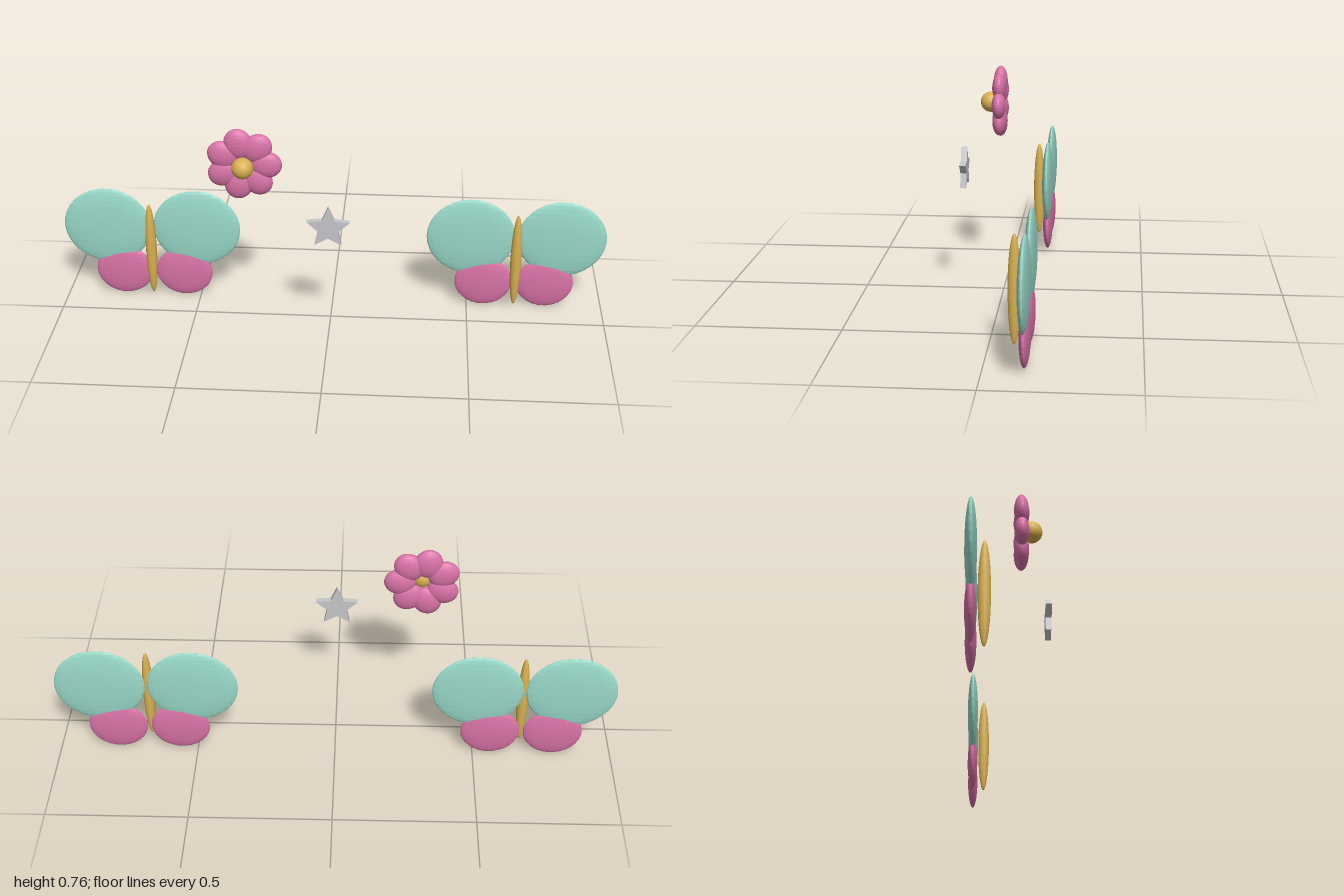
import * as THREE from 'three';

export function createModel() {
  const model = new THREE.Group();
  const material = (name, color) => {
    const m = new THREE.MeshStandardMaterial({ color, flatShading: true });
    m.name = name;
    return m;
  };
  const teal = material('mint green', 0x98d8c8);
  const pink = material('rose pink', 0xd872a6);
  const gold = material('soft gold', 0xd8b050);
  const silver = material('silver grey', 0xc6c6ca);

  const sphere = new THREE.SphereGeometry(1, 24, 16);
  const ellipsoid = (parent, name, mat, position, radii) => {
    const mesh = new THREE.Mesh(sphere, mat);
    mesh.name = name;
    mesh.position.set(...position);
    mesh.scale.set(...radii);
    parent.add(mesh);
    return mesh;
  };

  // Two butterflies: slim body in front of four flat round wings
  for (const side of [-1, 1]) {
    const butterfly = new THREE.Group();
    butterfly.name = side > 0 ? 'leftButterfly' : 'rightButterfly';
    butterfly.position.x = side * 0.672;
    ellipsoid(butterfly, 'body', gold, [0, 0.214, -0.088], [0.02, 0.184, 0.021]);
    for (const s of [-1, 1]) {
      const label = s > 0 ? 'left' : 'right';
      ellipsoid(butterfly, label + 'UpperWing', teal, [s * 0.166, 0.284, -0.13], [0.162, 0.152, 0.0195]);
      ellipsoid(butterfly, label + 'LowerWing', pink, [s * 0.113, 0.1, -0.13], [0.106, 0.098, 0.0185]);
    }
    model.add(butterfly);
  }

  // Flower: seven overlapping petals around a round centre
  const flower = new THREE.Group();
  flower.name = 'flower';
  flower.position.set(-0.302, 0.634, 0.038);
  ellipsoid(flower, 'flowerCentre', gold, [0, 0, 0.035], [0.038, 0.038, 0.038]);
  for (let i = 0; i < 7; i++) {
    const a = (i / 7) * Math.PI * 2;
    const petal = ellipsoid(flower, 'petal', pink,
      [Math.cos(a) * 0.079, Math.sin(a) * 0.079, 0], [0.056, 0.05, 0.026]);
    petal.rotation.z = a;
  }
  model.add(flower);

  // Flat five-pointed star
  const outline = new THREE.Shape();
  for (let i = 0; i < 10; i++) {
    const a = Math.PI / 2 + (i * Math.PI) / 5;
    const r = i % 2 ? 0.037 : 0.0785;
    outline[i ? 'lineTo' : 'moveTo'](Math.cos(a) * r, Math.sin(a) * r);
  }
  outline.closePath();
  const star = new THREE.Mesh(
    new THREE.ExtrudeGeometry(outline, { depth: 0.022, bevelEnabled: false }), silver);
  star.name = 'star';
  star.position.set(0, 0.448, 0.13);
  model.add(star);

  return model;
}
